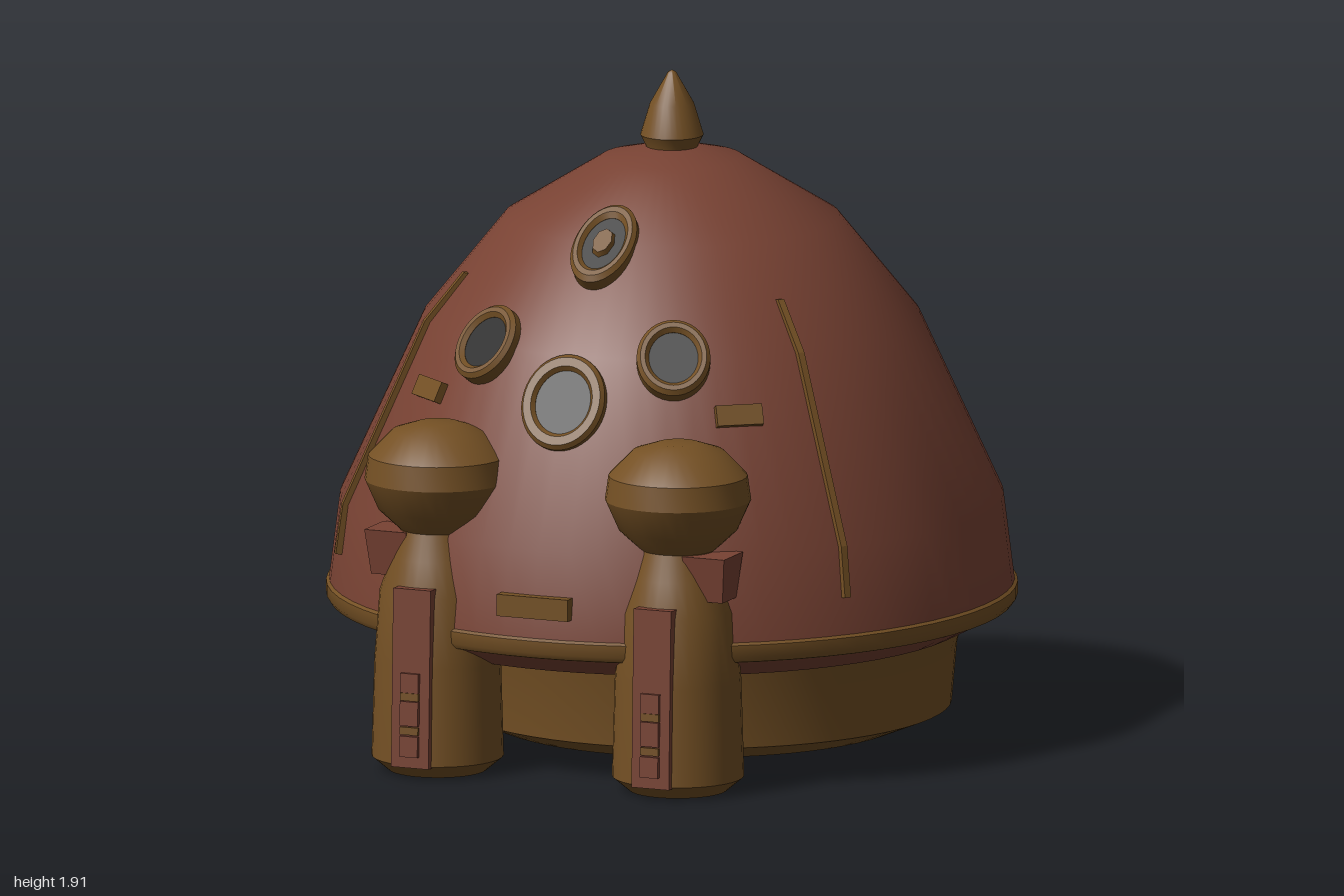
import * as THREE from 'three';
import { toCreasedNormals } from 'three/addons/utils/BufferGeometryUtils.js';

const mat = (name, color) => {
  const m = new THREE.MeshStandardMaterial({ color });
  m.name = name;
  return m;
};

export function createModel() {
  const red = mat('rust red', 0x784233);
  const gold = mat('bronze', 0x745024);
  const black = mat('black', 0x0c0c0c);
  const model = new THREE.Group();
  const CZ = -0.013; // centre of the dome in z

  const add = (parent, name, geo, material, x = 0, y = 0, z = 0) => {
    const m = new THREE.Mesh(geo, material);
    m.name = name;
    m.position.set(x, y, z);
    parent.add(m);
    return m;
  };
  const lathe = (pts, seg = 64, crease = 0.6) =>
    toCreasedNormals(new THREE.LatheGeometry(pts.map(p => new THREE.Vector2(...p)), seg), crease);
  // Group lying on the dome: yaw around y, tilted up by el
  const onDome = (name, yaw, r, y, el) => {
    const g = new THREE.Group();
    g.name = name;
    g.position.set(Math.sin(yaw) * r, y, CZ + Math.cos(yaw) * r);
    g.rotation.set(-el, yaw, 0, 'YXZ');
    model.add(g);
    return g;
  };

  // Dome shell, rim band, underside and rear base
  add(model, 'dome', lathe([[0.975, 0.43], [0.943, 0.685], [0.705, 1.205], [0.477, 1.487],
    [0.2, 1.657], [0.06, 1.69], [0, 1.69]]), red, 0, 0, CZ);
  add(model, 'rimBand', lathe([[0.955, 0.375], [0.973, 0.38], [0.983, 0.395], [0.983, 0.43],
    [0.97, 0.44]]), gold, 0, 0, CZ);
  add(model, 'underside', lathe([[0, 0.32], [0.85, 0.32], [0.97, 0.383]]), red, 0, 0, CZ);
  add(model, 'base', lathe([[0, 0], [0.6, 0], [0.722, 0.05], [0.737, 0.22], [0.775, 0.39]]),
    gold, 0, 0, -0.195);
  add(model, 'finial', lathe([[0.07, 1.67], [0.075, 1.69], [0.09, 1.72], [0.063, 1.81],
    [0.012, 1.9], [0, 1.907]], 32), gold, 0, 0, CZ);

  // Round ports: bronze ring around a black disc, sized as seen from the front
  const port = (name, yaw, r, y, el, outer, inner) => {
    const g = onDome(name, yaw, r, y, el);
    g.scale.set(1 / Math.cos(yaw), 1 / Math.cos(el), 1);
    const ring = lathe([[outer, -0.04], [outer, 0.008], [outer - 0.01, 0.02],
      [inner + 0.01, 0.02], [inner, 0.008], [inner, -0.01]], 40);
    add(g, 'portRing', ring.rotateX(Math.PI / 2), gold);
    add(g, 'portGlass', new THREE.CircleGeometry(inner + 0.004, 40), black, 0, 0, 0.007);
    return g;
  };
  port('middlePort', 0, 0.763, 1.08, 0.45, 0.127, 0.084);
  const top = port('topPort', 0, 0.478, 1.485, 0.87, 0.092, 0.06);
  const button = new THREE.CylinderGeometry(0.028, 0.034, 0.02, 8).rotateX(Math.PI / 2);
  add(top, 'portButton', button, gold, 0, 0, 0.012);

  // Bent strip that follows the dome's profile
  const strip = [[0.592, 1.34], [0.705, 1.205], [0.943, 0.685], [0.964, 0.54]];
  const stripShape = new THREE.Shape([
    ...strip.map(([r, y]) => new THREE.Vector2(r - 0.02, y)),
    ...strip.map(([r, y]) => new THREE.Vector2(r + 0.014, y + 0.005)).reverse(),
  ]);
  const stripGeo = new THREE.ExtrudeGeometry(stripShape, { depth: 0.02, bevelEnabled: false });
  stripGeo.translate(0, 0, -0.01);

  // Small box narrowing towards the bottom, for the side of each leg
  const bracketGeo = new THREE.BoxGeometry(0.13, 0.13, 0.135).toNonIndexed();
  const p = bracketGeo.attributes.position;
  for (let i = 0; i < p.count; i++) {
    if (p.getY(i) < 0) p.setXYZ(i, p.getX(i) * 0.8, p.getY(i), p.getZ(i) * 0.72);
  }
  bracketGeo.computeVertexNormals();

  const legGeo = lathe([[0, 0], [0.14, 0], [0.188, 0.04], [0.18, 0.32], [0.165, 0.52],
    [0.13, 0.62], [0.1, 0.72]], 32);
  const ballGeo = lathe([[0, 0.69], [0.1, 0.69], [0.17, 0.755], [0.208, 0.84], [0.198, 0.91],
    [0.13, 0.98], [0.06, 1.003], [0, 1.003]], 32, 0.5);

  for (const s of [1, -1]) {
    const side = s > 0 ? 'left' : 'right';
    port(side + 'Port', s * 0.42, 0.71, 1.21, 0.62, 0.096, 0.064);

    const plate = onDome(side + 'SmallPlate', s * 0.66, 0.775, 1.052, 0.44);
    add(plate, 'smallPlate', new THREE.BoxGeometry(0.135, 0.06, 0.04), gold);

    const stripMesh = add(model, side + 'Strip', stripGeo, gold, 0, 0, CZ);
    stripMesh.rotation.y = s > 0 ? -0.62 : Math.PI + 0.62;

    // Front leg with ball top
    const leg = new THREE.Group();
    leg.name = side + 'FrontLeg';
    leg.position.set(s * 0.373, 0, 0.793);
    model.add(leg);
    add(leg, 'legColumn', legGeo, gold);
    add(leg, 'legBall', ballGeo, gold);
    add(leg, 'legBracket', bracketGeo, red, s * 0.12, 0.63, 0.03);

    // Panel with stacked blocks and bars
    const panel = new THREE.Group();
    panel.name = 'legPanel';
    panel.position.set(0, 0.293, 0.165);
    panel.rotation.x = -0.03;
    leg.add(panel);
    add(panel, 'panelPlate', new THREE.BoxGeometry(0.116, 0.515, 0.05), red);
    for (const [y, h] of [[-0.012, 0.056], [-0.1, 0.07], [-0.195, 0.06]])
      add(panel, 'panelBlock', new THREE.BoxGeometry(0.056, h, 0.02), red, 0, y, 0.027);
    for (const y of [-0.052, -0.15])
      add(panel, 'panelBar', new THREE.BoxGeometry(0.056, 0.022, 0.016), gold, 0, y, 0.027);
  }

  // Plate above the rim at the front
  add(model, 'frontPlate', new THREE.BoxGeometry(0.22, 0.063, 0.05), gold, 0, 0.527, 0.95);
  return model;
}
